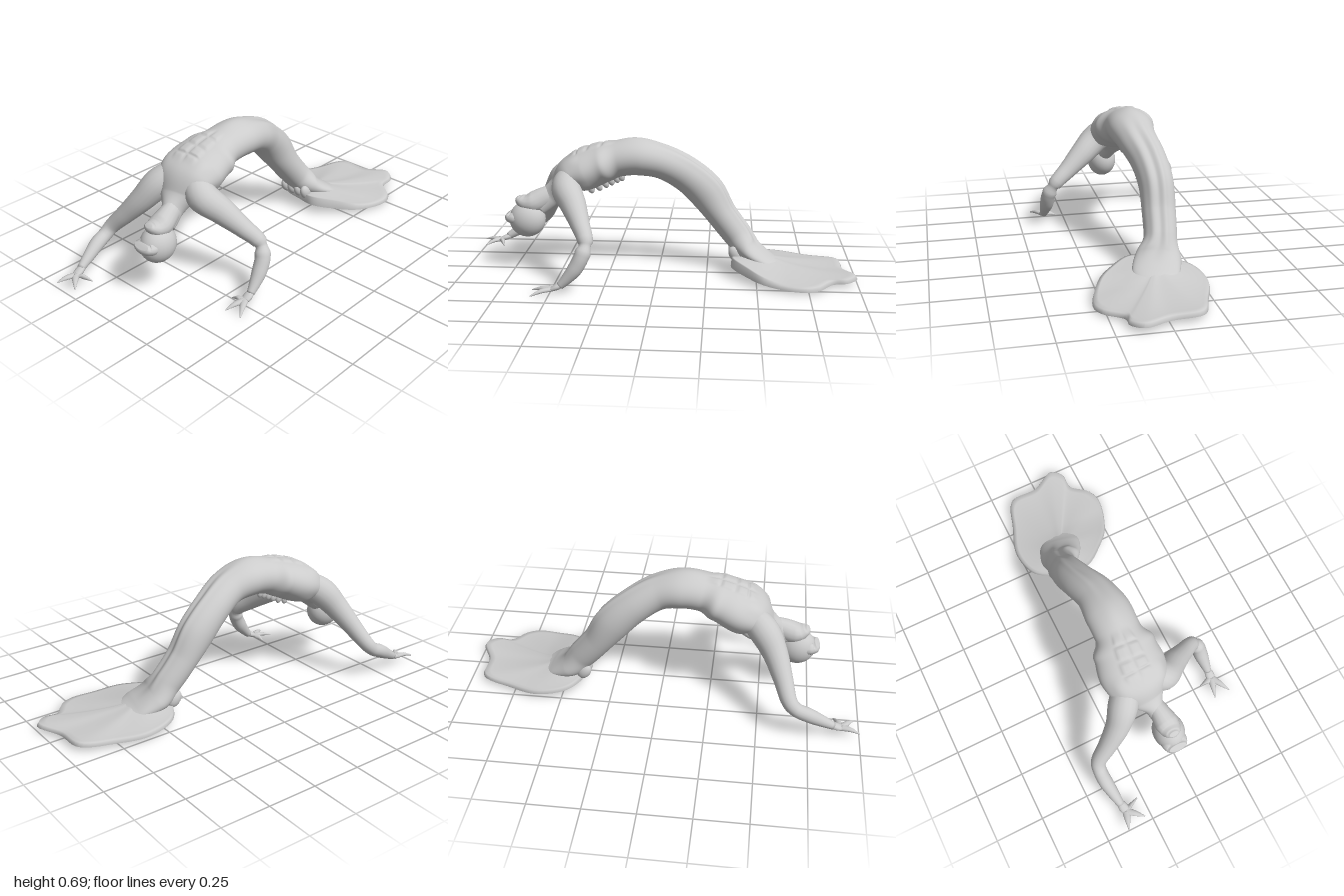
import * as THREE from 'three';

const material = new THREE.MeshStandardMaterial({ color: 0xcccccc });
const V = (x, y, z) => new THREE.Vector3(x, y, z);
const { smoothstep } = THREE.MathUtils;
const bell = (x, width) => Math.exp(-((x / width) ** 2));

// Closed smooth surface from rings: f(u, v) -> point, u wraps around, v runs 0..1
function surface(nu, nv, f) {
  const pos = [], idx = [];
  for (let j = 0; j <= nv; j++)
    for (let i = 0; i < nu; i++) pos.push(...f(i / nu, j / nv).toArray());
  for (let j = 0; j < nv; j++)
    for (let i = 0; i < nu; i++) {
      const k = (i + 1) % nu;
      const a = j * nu + i, b = j * nu + k, c = a + nu, d = b + nu;
      idx.push(a, b, d, a, d, c);
    }
  // turn the faces outward if the enclosed volume comes out negative
  let volume = 0;
  const p = (i) => V(pos[3 * i], pos[3 * i + 1], pos[3 * i + 2]);
  for (let i = 0; i < idx.length; i += 3)
    volume += p(idx[i]).dot(p(idx[i + 1]).cross(p(idx[i + 2])));
  if (volume < 0) idx.reverse();
  const g = new THREE.BufferGeometry();
  g.setAttribute('position', new THREE.Float32BufferAttribute(pos, 3));
  g.setIndex(idx);
  g.computeVertexNormals();
  return g;
}

// Limb through sections [x, y, z, halfWidth, halfDepth]
function makeLimb(sections, side = V(0, 0, 1), relief = () => 1) {
  const path = new THREE.CatmullRomCurve3(sections.map((s) => V(s[0], s[1], s[2])));
  const size = new THREE.CatmullRomCurve3(sections.map((s) => V(s[3], s[4] ?? s[3], 0)));
  const frame = (t) => {
    const T = path.getTangent(t);
    const S = side.clone().addScaledVector(T, -side.dot(T)).normalize();
    return { S, N: S.clone().cross(T), C: path.getPoint(t), R: size.getPoint(t) };
  };
  const at = (t, a, k = 1) => {
    const { S, N, C, R } = frame(t);
    const r = k * relief(t, a);
    return C.addScaledVector(S, R.x * r * Math.cos(a)).addScaledVector(N, R.y * r * Math.sin(a));
  };
  return { frame, at };
}

function limbGeometry(limb, nu, nv) {
  return surface(nu, nv, (u, v) => {
    const t = Math.min(1, Math.max(0, (v * nv - 1) / (nv - 2)));
    return limb.at(t, u * Math.PI * 2, v === 0 || v === 1 ? 0 : 1);
  });
}

export function createModel() {
  const model = new THREE.Group();
  model.name = 'archedSwimmer';
  const add = (name, geometry) => {
    const m = new THREE.Mesh(geometry, material);
    m.name = name;
    model.add(m);
    return m;
  };
  const addLimb = (name, sections, side, nu = 16, nv = 32) =>
    add(name, limbGeometry(makeLimb(sections, side), nu, nv));
  const ball = new THREE.SphereGeometry(1, 24, 16);
  const addBall = (name, p, s) => {
    const m = add(name, ball);
    m.position.set(...p);
    m.scale.set(...s);
    return m;
  };

  // Neck, torso and tail in one arch
  const bodySections = [
    [-0.62, 0.33, -0.02, 0.045, 0.05], [-0.56, 0.38, -0.035, 0.05, 0.056],
    [-0.505, 0.43, -0.05, 0.1, 0.064], [-0.445, 0.495, -0.06, 0.155, 0.092],
    [-0.37, 0.525, -0.065, 0.168, 0.106], [-0.28, 0.56, -0.06, 0.15, 0.1],
    [-0.2, 0.583, -0.055, 0.115, 0.092], [-0.1, 0.592, -0.053, 0.116, 0.093],
    [0.02, 0.565, -0.06, 0.1, 0.086], [0.14, 0.493, -0.09, 0.09, 0.088],
    [0.235, 0.405, -0.105, 0.086, 0.092], [0.32, 0.285, -0.1, 0.082, 0.076],
    [0.4, 0.185, -0.088, 0.08, 0.072], [0.46, 0.115, -0.066, 0.108, 0.062],
    [0.55, 0.07, -0.03, 0.11, 0.035], [0.66, 0.035, -0.01, 0.05, 0.012],
  ];
  const last = bodySections.length - 1;
  const bodyRelief = (t, a) => {
    const s = t * last;
    const off = Math.abs(a - Math.PI / 2); // angle away from the belly line
    const back = Math.abs(a - Math.PI * 1.5); // angle away from the spine
    // belly muscles: a raised panel cut by one long and three cross grooves
    const panel = smoothstep(s, 3.2, 3.6) * (1 - smoothstep(s, 5.5, 6)) * (1 - smoothstep(off, 0.32, 0.45));
    let cut = bell(off, 0.06);
    for (const row of [3.75, 4.5, 5.25]) cut = Math.max(cut, bell(s - row, 0.09));
    const belly = panel * (0.06 - 0.07 * cut);
    const chest = 0.07 * bell(s - 3.3, 0.5) * bell(off - 0.65, 0.3);
    const ribs = 0.07 * bell(s - 5.25, 0.35) * Math.cos(a) ** 2;
    const groin = 0.06 * bell(s - 6.7, 0.6) * bell(off, 0.35);
    const blades = 0.08 * bell(s - 3.5, 0.6) * bell(back - 0.75, 0.3) - 0.06 * bell(s - 3.8, 1) * bell(back, 0.2);
    // paired ridges down the front of the tail
    const tail = smoothstep(s, 7, 9) * (1 - smoothstep(s, 12.5, 14));
    const ridges = 0.07 * bell(a - 1.75, 0.16) - 0.07 * bell(a - 1.4, 0.18) + 0.05 * bell(a - 1, 0.2);
    return 1 + belly + chest + ribs + groin + blades + tail * ridges;
  };
  const body = makeLimb(bodySections, V(0, 0, 1), bodyRelief);
  add('bodyAndTail', limbGeometry(body, 112, 190));

  // Rounded knobs along the spine
  for (let i = 0; i < 6; i++) {
    const t = (3.8 + i * 0.4) / last;
    const knob = add('spineKnob', ball);
    knob.position.copy(body.at(t, -Math.PI / 2, 0.98));
    knob.quaternion.setFromUnitVectors(V(0, 1, 0), body.frame(t).N.negate());
    knob.scale.set(0.019, 0.03, 0.015);
  }

  // Tail fin: a wavy disc, thick at its hub and heel, thin at its rim
  const rim = new THREE.CatmullRomCurve3([
    [0.385, -0.04], [0.4, -0.13], [0.47, -0.23], [0.62, -0.265], [0.78, -0.215],
    [0.93, -0.15], [0.945, 0], [1, 0.125], [0.95, 0.18], [0.875, 0.185],
    [0.8, 0.27], [0.725, 0.297], [0.54, 0.245], [0.45, 0.165], [0.375, 0.06],
  ].map(([x, z]) => V(x, 0, z)), true);
  add('tailFin', surface(96, 32, (u, v) => {
    const p = rim.getPoint(u);
    const top = v < 0.5;
    const s = Math.min(1, top ? v / 0.48 : (1 - v) / 0.48);
    const x = 0.52 + (p.x - 0.52) * s, z = -0.04 + (p.z + 0.04) * s;
    const base = 0.01 + 0.29 * (x - 0.75) ** 2 + 0.012 * Math.max(0, -z / 0.26);
    const heel = 0.028 * (1 - smoothstep(x, 0.4, 0.65)) * smoothstep(z, -0.25, 0.1);
    const thick = 0.02 + heel + 0.05 * (1 - s) ** 1.3;
    return V(x, top ? base + thick : base, z);
  }));
  // Folds where the tail meets the fin
  for (let i = 0; i < 4; i++)
    addBall('finFold', [0.395, 0.1, -0.14 + i * 0.045], [0.032, 0.045, 0.024]).rotation.z = 0.6;

  // Head, hanging back with the chin raised
  addBall('cranium', [-0.678, 0.265, -0.01], [0.094, 0.093, 0.08]);
  addLimb('jaw', [[-0.54, 0.4, -0.034, 0.04, 0.048], [-0.6, 0.372, -0.022, 0.05, 0.056],
    [-0.65, 0.352, -0.015, 0.06, 0.056], [-0.69, 0.354, -0.012, 0.054, 0.042],
    [-0.718, 0.37, -0.012, 0.038, 0.026], [-0.727, 0.381, -0.012, 0.022, 0.012]]);
  addLimb('brow', [[-0.69, 0.28, -0.012, 0.065, 0.04], [-0.74, 0.275, -0.012, 0.066, 0.04],
    [-0.768, 0.282, -0.012, 0.058, 0.032], [-0.779, 0.295, -0.012, 0.045, 0.016]]);

  // Arms: shoulder, elbow and wrist
  addLimb('rightArm', [
    [-0.43, 0.51, -0.12, 0.065], [-0.505, 0.458, -0.175, 0.074], [-0.565, 0.375, -0.232, 0.062],
    [-0.612, 0.28, -0.31, 0.048], [-0.652, 0.195, -0.383, 0.038], [-0.685, 0.162, -0.393, 0.035],
    [-0.74, 0.135, -0.391, 0.036], [-0.81, 0.095, -0.379, 0.029], [-0.87, 0.06, -0.368, 0.019],
  ], V(0.6, 0, -0.8), 18, 48);
  addLimb('leftArm', [
    [-0.43, 0.51, 0, 0.065], [-0.458, 0.455, 0.06, 0.076], [-0.412, 0.385, 0.145, 0.065],
    [-0.365, 0.31, 0.235, 0.048], [-0.33, 0.245, 0.312, 0.038], [-0.342, 0.19, 0.342, 0.038],
    [-0.375, 0.125, 0.352, 0.037], [-0.415, 0.075, 0.358, 0.028], [-0.45, 0.038, 0.362, 0.019],
  ], V(0.3, 0.3, 0.9), 18, 48);

  // Hands: a flat palm with three tapering fingers spread on the ground
  const addHand = (name, wrist, palm, tips) => {
    addLimb(name + 'Palm', [[...wrist, 0.018, 0.016],
      [(wrist[0] + palm[0]) / 2, (wrist[1] + palm[1]) / 2, (wrist[2] + palm[2]) / 2, 0.024, 0.015],
      [...palm, 0.022, 0.011]], V(0, 0, 1), 12, 12);
    for (const tip of tips) {
      const mid = palm.map((c, i) => (c + tip[i]) / 2);
      addLimb(name + 'Finger', [[...palm, 0.02, 0.012],
        [mid[0], mid[1] + 0.006, mid[2], 0.014, 0.01], [...tip, 0.003]], V(0.4, 0, 1), 10, 12);
    }
  };
  addHand('rightHand', [-0.86, 0.062, -0.367], [-0.91, 0.045, -0.358],
    [[-1, 0.035, -0.385], [-0.975, 0.032, -0.283], [-0.875, 0.03, -0.278]]);
  addHand('leftHand', [-0.445, 0.042, 0.362], [-0.49, 0.022, 0.363],
    [[-0.585, 0.004, 0.422], [-0.59, 0.006, 0.335], [-0.5, 0.008, 0.293]]);

  return model;
}
